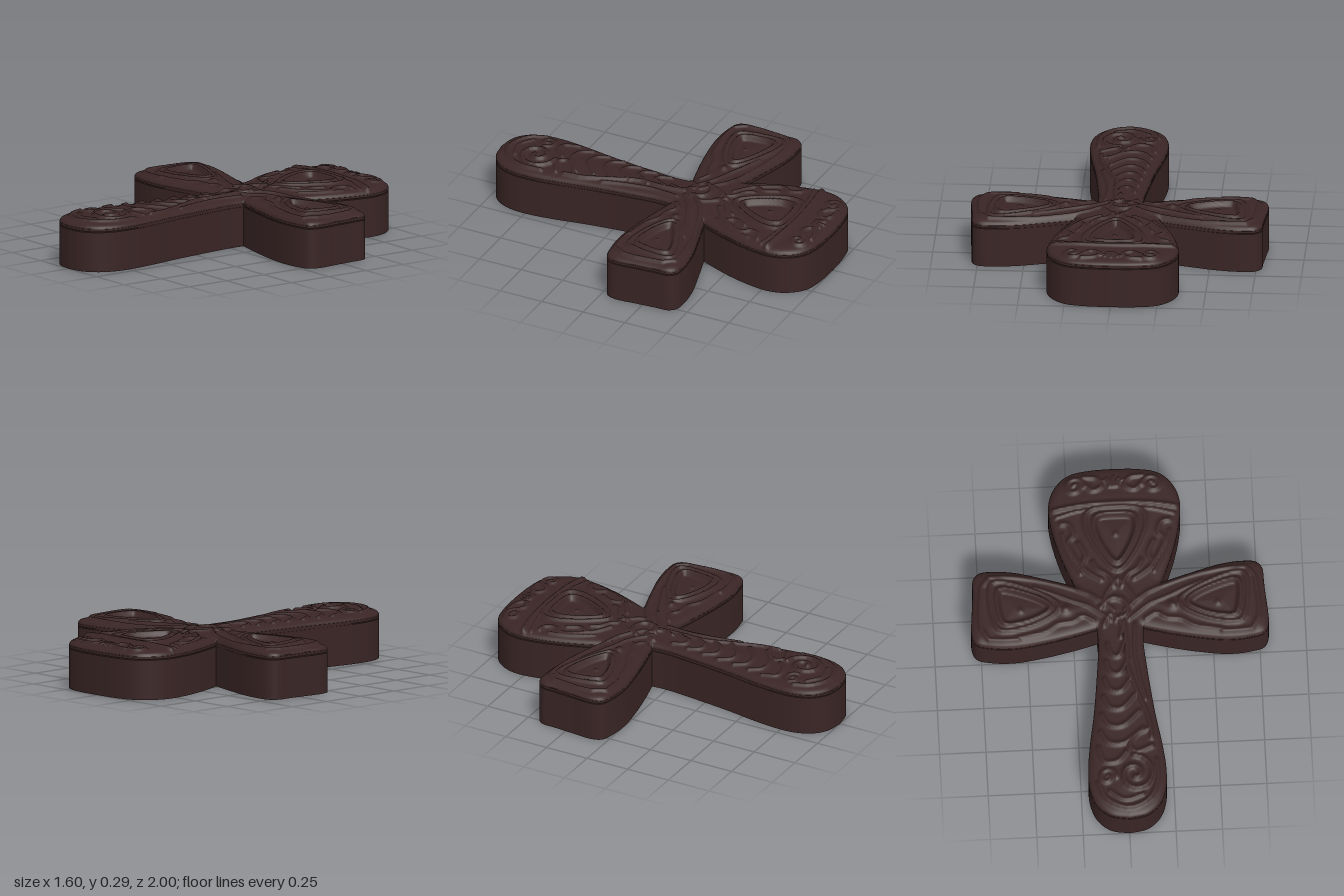
import * as THREE from 'three';
import { toCreasedNormals } from 'three/addons/utils/BufferGeometryUtils.js';

// All plan points are [x, z].
const mirror = (pts) => pts.map(([x, z]) => [-x, z]);

function spline(pts, n, closed = false) {
  const v = pts.map(([x, z]) => new THREE.Vector3(x, 0, z));
  return new THREE.CatmullRomCurve3(v, closed, 'centripetal').getSpacedPoints(n).map((p) => [p.x, p.z]);
}

function spiral(cx, cz, radius, turns, start, dir = 1) {
  const pts = [];
  for (let i = 0; i <= 24; i++) {
    const a = start + dir * turns * Math.PI * 2 * (i / 24);
    const r = radius * (1 - 0.85 * (i / 24));
    pts.push([cx + r * Math.cos(a), cz + r * Math.sin(a)]);
  }
  return pts;
}

// Shortest distance from a point to a polyline
function distance(x, z, line) {
  let best = Infinity;
  for (let i = 0; i < line.length - 1; i++) {
    const a = line[i], b = line[i + 1];
    const dx = b[0] - a[0], dz = b[1] - a[1];
    const px = x - a[0], pz = z - a[1];
    const t = Math.min(1, Math.max(0, (px * dx + pz * dz) / (dx * dx + dz * dz || 1)));
    const ex = px - t * dx, ez = pz - t * dz;
    best = Math.min(best, ex * ex + ez * ez);
  }
  return Math.sqrt(best);
}

function inside(x, z, loop) {
  let hit = false;
  for (let i = 0; i < loop.length - 1; i++) {
    const [ax, az] = loop[i], [bx, bz] = loop[i + 1];
    if ((az > z) !== (bz > z) && x < ax + ((z - az) / (bz - az)) * (bx - ax)) hit = !hit;
  }
  return hit;
}

// Outline of the +x half, in four runs
const NOTCH_TOP = [0.232, -0.34], NOTCH_LOW = [0.125, -0.087];
const head = spline([[0, -1], [0.12, -0.995], [0.23, -0.975], [0.285, -0.94], [0.335, -0.87], [0.355, -0.79],
  [0.345, -0.68], [0.31, -0.54], [0.27, -0.43], NOTCH_TOP], 150);
const waist = spline([NOTCH_TOP, NOTCH_LOW], 30);
const shaft = spline([NOTCH_LOW, [0.122, 0], [0.135, 0.15], [0.165, 0.4], [0.195, 0.58], [0.21, 0.72], [0.205, 0.83],
  [0.17, 0.92], [0.1, 0.98], [0, 1]], 180);
const armTop = spline([NOTCH_TOP, [0.4, -0.39], [0.55, -0.43], [0.67, -0.443], [0.745, -0.435], [0.778, -0.4],
  [0.784, -0.32], [0.792, -0.22]], 110);
const armLow = spline([NOTCH_LOW, [0.25, -0.055], [0.42, -0.02], [0.58, 0], [0.7, -0.008], [0.775, -0.03],
  [0.799, -0.08], [0.792, -0.22]], 110);
const half = [...head, ...armTop.slice(1), ...armLow.slice(0, -1).reverse(), ...shaft.slice(1)];
const outline = [...half, ...mirror(half).reverse().slice(1)];

// Sunken panels: one in the head and one in each arm
const headPanel = spline([[0, -0.735], [0.1, -0.72], [0.115, -0.66], [0.06, -0.52], [0, -0.455],
  [-0.06, -0.52], [-0.115, -0.66], [-0.1, -0.72]], 48, true);
const headFrame = headPanel.map(([x, z]) => [x * 1.42, -0.61 + (z + 0.61) * 1.3]);
const armPanel = spline([[0.645, -0.325], [0.5, -0.3], [0.37, -0.225], [0.38, -0.195], [0.5, -0.14],
  [0.62, -0.13], [0.64, -0.16]], 48, true);
const armFrame = armPanel.map(([x, z]) => [0.52 + (x - 0.52) * 1.28, -0.22 + (z + 0.22) * 1.38]);
const panels = [headPanel, armPanel, mirror(armPanel)];

// Carved ridges: { line, radius, height }
const ridges = [];
const ridge = (line, radius = 0.013, height = 0.014) => ridges.push({ line, radius, height });
const stroke = (pts, radius, height) => ridge(spline(pts, 16), radius, height);
const pair = (line, radius, height) => { ridge(line, radius, height); ridge(mirror(line), radius, height); };
const strokePair = (pts, radius, height) => pair(spline(pts, 16), radius, height);

// Head: frame, arched band, scrolls, shell and side leaves
ridge(headPanel, 0.014, 0.018);
ridge(headFrame, 0.012, 0.016);
stroke([[-0.34, -0.765], [-0.2, -0.785], [0, -0.795], [0.2, -0.785], [0.34, -0.765]], 0.013, 0.018);
stroke([[-0.32, -0.725], [-0.2, -0.755], [0, -0.765], [0.2, -0.755], [0.32, -0.725]], 0.008, 0.01);
pair(spiral(0.21, -0.895, 0.055, 1.4, Math.PI));
strokePair([[0.15, -0.9], [0.11, -0.87], [0.06, -0.9], [0.09, -0.94], [0.16, -0.95]]);
for (let i = -2; i <= 2; i++) stroke([[i * 0.01, -0.89], [i * 0.02, -0.92], [i * 0.035, -0.945 + Math.abs(i) * 0.008]], 0.009, 0.012);
strokePair([[0.29, -0.69], [0.25, -0.68], [0.23, -0.62], [0.26, -0.58], [0.23, -0.5], [0.19, -0.44]]);
strokePair([[0.29, -0.63], [0.275, -0.56], [0.24, -0.47], [0.2, -0.4]], 0.01, 0.01);
strokePair([[0.2, -0.57], [0.17, -0.5], [0.19, -0.44], [0.15, -0.4], [0.09, -0.36]]);
strokePair([[0.13, -0.46], [0.11, -0.42], [0.05, -0.38], [0.02, -0.32]]);

// Arms: frames, ribs running out from the middle, bead and tip bands
for (const [line, r, h] of [[armPanel, 0.014, 0.018], [armFrame, 0.012, 0.016]]) pair(line, r, h);
strokePair([[0.03, -0.18], [0.14, -0.27], [0.28, -0.33], [0.45, -0.38], [0.62, -0.4], [0.72, -0.39], [0.74, -0.3],
  [0.75, -0.12], [0.72, -0.05], [0.55, -0.04]], 0.012, 0.014);
strokePair([[0.05, -0.13], [0.16, -0.21], [0.26, -0.25], [0.35, -0.29], [0.45, -0.33]], 0.011, 0.012);
strokePair([[0.14, -0.13], [0.2, -0.16], [0.25, -0.13], [0.33, -0.12], [0.4, -0.08], [0.55, -0.05]], 0.012, 0.012);
pair([[0.285, -0.2], [0.29, -0.198]], 0.024, 0.018);

// Crossing: knot of leaves
strokePair([[0, -0.36], [0.05, -0.3], [0.08, -0.23], [0.04, -0.19]]);
stroke([[-0.1, -0.2], [-0.04, -0.25], [0.03, -0.23], [0.04, -0.16], [-0.02, -0.13]], 0.014, 0.018);
stroke([[-0.09, -0.1], [-0.05, -0.16], [0.01, -0.1], [0, -0.03]], 0.013, 0.014);

// Shaft: stem, leaf strokes and the large scroll at the foot
stroke([[0.02, -0.12], [0.03, 0.02], [0.03, 0.15], [0.08, 0.3], [0.13, 0.45], [0.14, 0.55]], 0.013, 0.016);
stroke([[0.08, -0.1], [0.07, 0.05], [0.09, 0.2], [0.12, 0.33]], 0.011, 0.012);
for (let i = 0; i < 6; i++) {
  const z = 0.02 + i * 0.1, w = 0.075 + i * 0.012;
  stroke([[0.02 + i * 0.015, z - 0.02], [-0.02, z + 0.06], [-w * 0.7, z + 0.05], [-w, z - 0.01]], 0.013, 0.014);
}
stroke([[0.13, 0.5], [0.06, 0.53], [0.02, 0.59], [0.05, 0.63], [0.14, 0.6]]);
stroke([[-0.15, 0.6], [-0.12, 0.68], [-0.05, 0.68], [0, 0.63]]);
ridge(spiral(0.04, 0.76, 0.11, 1.5, -Math.PI / 2), 0.014, 0.018);
ridge(spiral(-0.11, 0.77, 0.05, 1.2, 0, -1));
stroke([[-0.16, 0.8], [-0.12, 0.89], [0, 0.945], [0.11, 0.9], [0.16, 0.8], [0.16, 0.68]]);
stroke([[-0.1, 0.85], [-0.02, 0.9], [0.08, 0.875]], 0.011, 0.012);

// Small bosses in the panels
ridge([[0, -0.621], [0, -0.62]], 0.014, 0.01);
pair([[0.53, -0.205], [0.531, -0.205]], 0.014, 0.01);

// Height of the carved face: rounded rim, slight dome, sunken panels, ridges
const RIM = 0.236;
function faceHeight(x, z) {
  const d = distance(x, z, outline);
  const k = 1 - Math.min(1, d / 0.05);
  const round = Math.sqrt(1 - k * k);
  let y = RIM + 0.023 * round + 0.012 * Math.min(1, d / 0.16);
  for (const p of panels) {
    if (inside(x, z, p)) y -= 0.018 * THREE.MathUtils.smoothstep(distance(x, z, p), 0, 0.03) - 0.008 * Math.min(1, distance(x, z, p) / 0.09);
  }
  let raise = 0;
  for (const r of ridges) {
    const q = distance(x, z, r.line) / r.radius;
    if (q < 3) raise = Math.max(raise, r.height * Math.exp(-q * q));
  }
  return y + raise * round;
}

// Ruled strip of the carved face between two edge lines
function carvedStrip(edgeA, edgeB, columns) {
  const pos = [], index = [];
  edgeA.forEach((a, i) => {
    const b = edgeB[i];
    for (let j = 0; j <= columns; j++) {
      const t = j / columns;
      const x = a[0] + (b[0] - a[0]) * t, z = a[1] + (b[1] - a[1]) * t;
      pos.push(x, faceHeight(x, z), z);
      if (i < edgeA.length - 1 && j < columns) {
        const p = i * (columns + 1) + j, q = p + columns + 1;
        index.push(p, q, p + 1, p + 1, q, q + 1);
      }
    }
  });
  const g = new THREE.BufferGeometry();
  g.setAttribute('position', new THREE.Float32BufferAttribute(pos, 3));
  g.setIndex(index);
  g.computeVertexNormals();
  return g;
}

// Upright slab cut to the outline
function slab(points, bottom, top) {
  const shape = new THREE.Shape(points.slice(0, -1).map(([x, z]) => new THREE.Vector2(x, -z)));
  const g = new THREE.ExtrudeGeometry(shape, { depth: top - bottom, bevelEnabled: false });
  g.rotateX(-Math.PI / 2).translate(0, bottom, 0);
  return toCreasedNormals(g, 0.6);
}

export function createModel() {
  const group = new THREE.Group();
  const wood = new THREE.MeshStandardMaterial({ name: 'darkBrown', color: 0x3a2525 });
  const add = (name, geometry) => {
    const mesh = new THREE.Mesh(geometry, wood);
    mesh.name = name;
    group.add(mesh);
  };

  // Plain body, a fine seam and the lid's rim
  add('body', slab(outline, 0, 0.217));
  add('seamCore', slab(outline.map(([x, z]) => [x * 0.96, -0.22 + (z + 0.22) * 0.96]), 0.21, 0.23));
  add('lidRim', slab(outline, 0.222, RIM - 0.001));

  // Carved face
  const side = [...head, ...waist.slice(1), ...shaft.slice(1)];
  add('carvedUpright', carvedStrip(mirror(side), side, 90));
  add('carvedLeftArm', carvedStrip(armLow, armTop, 60));
  add('carvedRightArm', carvedStrip(mirror(armTop), mirror(armLow), 60));
  return group;
}
